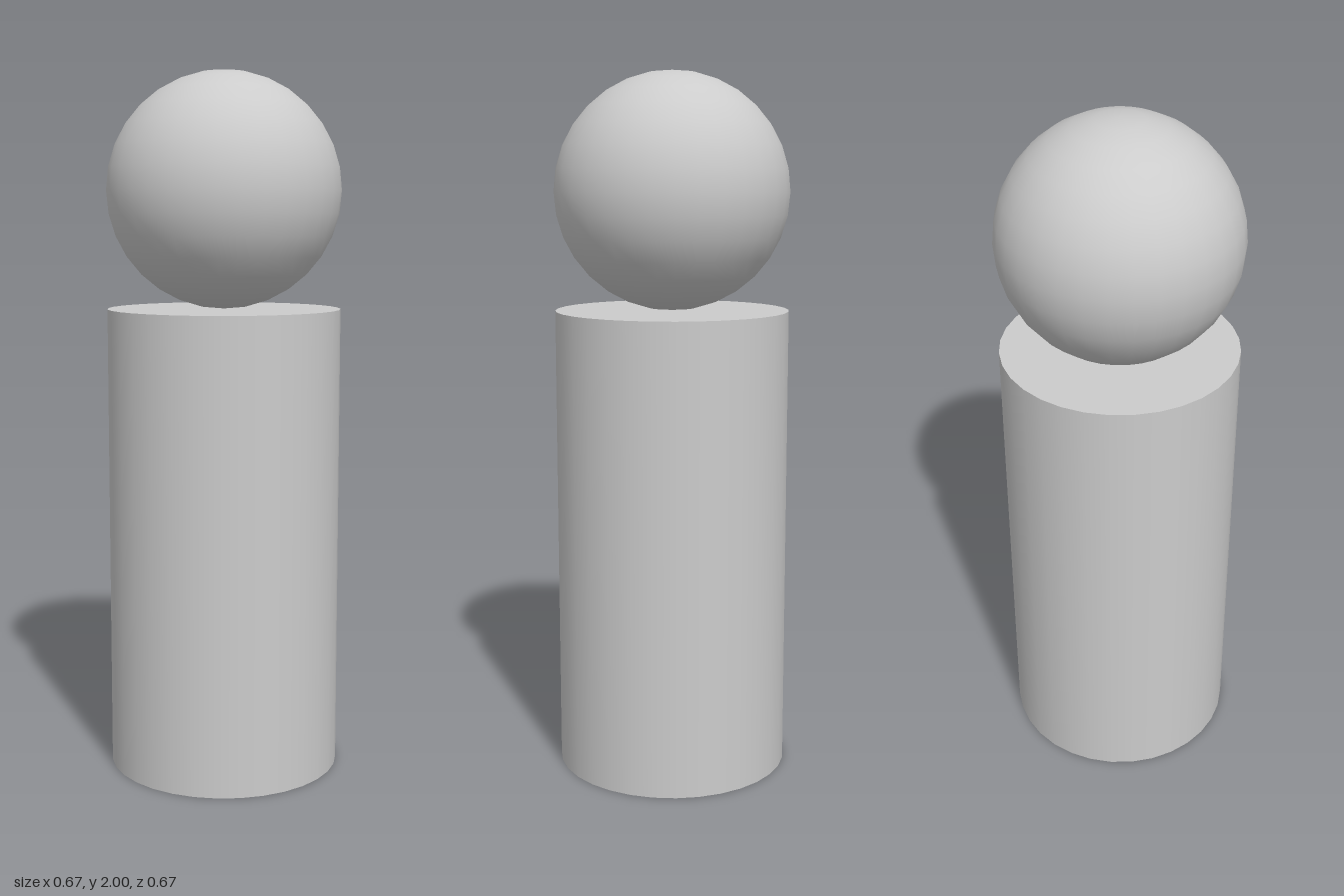
import * as THREE from 'three';

const RADIUS = 1 / 3;
const BODY_HEIGHT = 4 / 3;

export function createModel() {
  const group = new THREE.Group();
  const material = new THREE.MeshStandardMaterial({ color: 0xcccccc });

  // Upright capped cylinder
  const body = new THREE.Mesh(
    new THREE.CylinderGeometry(RADIUS, RADIUS, BODY_HEIGHT, 32), material);
  body.name = 'body';
  body.position.y = BODY_HEIGHT / 2;

  // Ball resting on the top of the body
  const head = new THREE.Mesh(new THREE.SphereGeometry(RADIUS, 32, 16), material);
  head.name = 'head';
  head.position.y = BODY_HEIGHT + RADIUS;

  group.add(body, head);
  return group;
}
